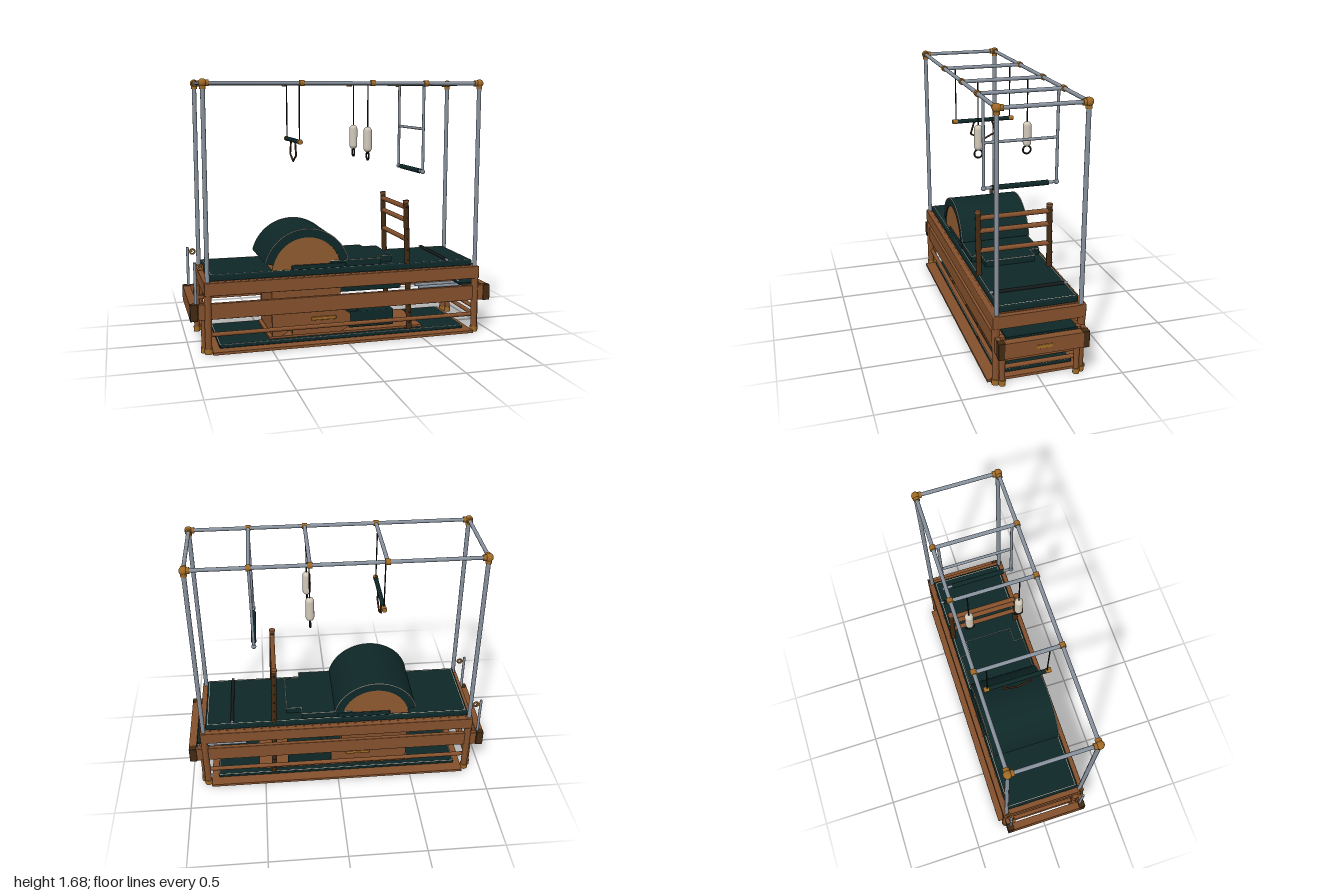
import * as THREE from 'three';
import { RoundedBoxGeometry } from 'three/addons/geometries/RoundedBoxGeometry.js';

const mat = (name, color, opts = {}) => {
  const m = new THREE.MeshStandardMaterial({ color, ...opts });
  m.name = name;
  return m;
};

export function createModel() {
  const wood = mat('wood', 0x84502c);
  const panelWood = mat('panel wood', 0x8f5a30);
  const darkWood = mat('dark wood', 0x432a13);
  const brass = mat('brass', 0xa06a26);
  const teal = mat('teal upholstery', 0x0e2727);
  const steel = mat('steel', 0x87919d);
  const cream = mat('cream', 0xd2c9ba);
  const black = mat('black', 0x151a1a);

  const root = new THREE.Group();
  const add = (name, geo, m, x = 0, y = 0, z = 0, parent = root) => {
    const mesh = new THREE.Mesh(geo, m);
    mesh.name = name;
    mesh.position.set(x, y, z);
    parent.add(mesh);
    return mesh;
  };
  // Box from min/max ranges
  const box = (name, m, [x0, x1], [y0, y1], [z0, z1], r = 0) => {
    const s = [x1 - x0, y1 - y0, z1 - z0];
    const g = r ? new RoundedBoxGeometry(...s, 2, r) : new THREE.BoxGeometry(...s);
    return add(name, g, m, (x0 + x1) / 2, (y0 + y1) / 2, (z0 + z1) / 2);
  };
  // Round rod between two points
  const rod = (name, m, a, b, r, r2 = r) => {
    const p = new THREE.Vector3(...a), q = new THREE.Vector3(...b), d = q.clone().sub(p);
    const mesh = add(name, new THREE.CylinderGeometry(r2, r, d.length(), 14), m);
    mesh.position.copy(p).add(q).multiplyScalar(0.5);
    mesh.quaternion.setFromUnitVectors(new THREE.Vector3(0, 1, 0), d.normalize());
    return mesh;
  };
  const extrude = (name, m, shape, depth, z = 0) => {
    const g = new THREE.ExtrudeGeometry(shape, { depth, bevelEnabled: false, curveSegments: 32 });
    return add(name, g.translate(0, 0, -depth / 2), m, 0, 0, z);
  };
  const poly = pts => new THREE.Shape(pts.map(p => new THREE.Vector2(...p)));
  // Thin piping following a closed outline in x, z
  const piping = (pts, y) => pts.forEach((p, i) => {
    const q = pts[(i + 1) % pts.length];
    rod('piping', cream, [p[0], y, p[1]], [q[0], y, q[1]], 0.0025);
  });
  const rect = (x0, x1, z) => [[x0, -z], [x1, -z], [x1, z], [x0, z]];
  const S = [-1, 1];

  // Base platform and floor mat
  box('basePlatform', wood, [-0.867, 0.867], [0, 0.017], [-0.31, 0.31]);
  box('floorMat', teal, [-0.82, 0.82], [0.017, 0.04], [-0.24, 0.24], 0.006);
  piping(rect(-0.815, 0.815, 0.235), 0.039);

  // Bed frame, long rails and legs
  for (const s of S) {
    box('upperRail', wood, [-0.912, 0.912], [0.367, 0.45], [s * 0.27 - 0.017, s * 0.27 + 0.017], 0.005);
    box('upperEndBoard', wood, s < 0 ? [-0.912, -0.88] : [0.88, 0.912], [0.367, 0.447], [-0.255, 0.255]);
    box('middleRail', wood, [-0.95, 0.95], [0.217, 0.318], [s * 0.263 - 0.014, s * 0.263 + 0.014], 0.004);
    const ex = s < 0 ? [-1, -0.952] : [0.948, 0.997];
    box('lowerEndBoard', wood, ex, [0.217, 0.315], [-0.24, 0.24]);
    for (const t of S) {
      box('cornerBlock', darkWood, ex, [0.212, 0.318], t < 0 ? [-0.279, -0.235] : [0.235, 0.279], 0.004);
      rod('innerLeg', wood, [s * 0.89, 0.035, t * 0.265], [s * 0.89, 0.37, t * 0.265], 0.021, 0.024);
      rod('outerLeg', wood, [s * 0.915, 0.035, t * 0.232], [s * 0.91, 0.32, t * 0.232], 0.017, 0.02);
      rod('legFoot', brass, [s * 0.89, 0, t * 0.265], [s * 0.89, 0.035, t * 0.265], 0.026);
      rod('legFoot', brass, [s * 0.915, 0, t * 0.232], [s * 0.915, 0.035, t * 0.232], 0.021);
    }
    rod('lowerRail', wood, [-0.88, 0.117, s * 0.255], [0.88, 0.117, s * 0.255], 0.014);
    for (const y of [0.11, 0.16]) rod('endRung', wood, [s * 0.9, y, -0.23], [s * 0.9, y, 0.23], 0.014);
    // Carriage track
    box('track', wood, [-0.95, 0.95], [0.225, 0.25], [s * 0.22 - 0.012, s * 0.22 + 0.012]);
  }
  box('drawerPull', brass, [0.995, 1.0], [0.253, 0.278], [-0.047, 0.047], 0.002);

  // Main mattress
  box('bedDeck', wood, [-0.88, 0.88], [0.43, 0.45], [-0.255, 0.255]);
  box('mattress', teal, [-0.88, 0.875], [0.45, 0.49], [-0.25, 0.25], 0.01);
  piping(rect(-0.865, 0.86, 0.236), 0.489);

  // Spring rods and foot plate at the left end
  for (const z of [-0.14, -0.07, 0, 0.07, 0.14])
    rod('spring', steel, [0.62, 0.24, z], [0.95, 0.24, z], 0.011);
  box('footPlate', teal, [0.8, 0.945], [0.312, 0.328], [-0.22, 0.22], 0.004);
  for (const s of S) rod('footBrace', steel, [0.75, 0.39, s * 0.18], [0.82, 0.32, s * 0.18], 0.008);

  // Steel canopy with brass joints
  const Y = 1.655, Z = 0.26, X = 0.89;
  for (const s of S) {
    rod('topRail', steel, [-X, Y, s * Z], [X, Y, s * Z], 0.012);
    for (const x of [-X, X]) {
      rod('post', steel, [x, 0.44, s * Z], [x, Y, s * Z], 0.014);
      add('cornerJoint', new THREE.SphereGeometry(0.026, 14, 10), brass, x, Y, s * Z);
      rod('jointSleeve', brass, [x, Y - 0.036, s * Z], [x, Y, s * Z], 0.019);
      rod('jointSleeve', brass, [x, Y, s * Z], [x - Math.sign(x) * 0.036, Y, s * Z], 0.019);
      rod('jointSleeve', brass, [x, Y, s * Z], [x, Y, s * (Z - 0.036)], 0.019);
    }
    for (const x of [-0.29, 0.165, 0.52])
      rod('slidingCollar', brass, [x - 0.015, Y, s * Z], [x + 0.015, Y, s * Z], 0.019);
  }
  for (const x of [-X, -0.29, 0.165, 0.52, X]) rod('crossBar', steel, [x, Y, -Z], [x, Y, Z], 0.012);

  // Trapeze with sling
  const tx = -0.29;
  rod('trapezeBar', teal, [tx, 1.293, -0.185], [tx, 1.293, 0.185], 0.014);
  for (const s of S) {
    rod('trapezeRope', black, [tx, 1.295, s * 0.188], [tx, Y, s * 0.188], 0.004);
    rod('trapezeEnd', brass, [tx, 1.293, s * 0.18], [tx, 1.293, s * 0.212], 0.016);
    rod('sling', darkWood, [tx, 1.285, s * 0.062], [tx, 1.2, s * 0.088], 0.006);
    rod('sling', darkWood, [tx, 1.2, s * 0.088], [tx, 1.157, 0], 0.006);
  }

  // Fleece hanging loops
  for (const s of S) {
    const z = s * 0.16;
    rod('loopRope', black, [0.165, 1.37, z], [0.165, Y, z], 0.004);
    add('fleeceLoop', new THREE.CapsuleGeometry(0.027, 0.11, 6, 16), cream, 0.165, 1.298, z);
    add('loopRing', new THREE.TorusGeometry(0.026, 0.006, 8, 24), black, 0.165, 1.195, z).rotation.y = Math.PI / 2;
  }

  // Push-through bar
  for (const s of S) {
    rod('swingArm', steel, [0.52, 1.085, s * 0.228], [0.52, Y, s * 0.228], 0.009);
    add('swingElbow', new THREE.SphereGeometry(0.016, 12, 8), steel, 0.52, 1.088, s * 0.228);
  }
  rod('swingSpacer', steel, [0.52, 1.365, -0.228], [0.52, 1.365, 0.228], 0.009);
  rod('pushBar', steel, [0.52, 1.088, -0.228], [0.52, 1.088, 0.228], 0.009);
  rod('pushGrip', teal, [0.52, 1.088, -0.175], [0.52, 1.088, 0.175], 0.016);

  // Pulley posts at the right end
  for (const s of S) {
    rod('pulleyPost', steel, [-0.962, 0.315, s * 0.25], [-0.962, 0.575, s * 0.25], 0.009);
    rod('pulleyArm', steel, [-0.962, 0.545, s * 0.25], [-0.93, 0.545, s * 0.25], 0.005);
    add('pulleyWheel', new THREE.TorusGeometry(0.016, 0.006, 8, 20), brass, -0.93, 0.545, s * 0.25);
  }

  // Arched barrel
  const cx = -0.255, cy = 0.47, a = 0.25;
  const arc = new THREE.Shape();
  arc.absarc(cx, cy, 0.28, a, Math.PI - a, false);
  arc.absarc(cx, cy, 0.224, Math.PI - a, a, true);
  extrude('barrelPad', teal, arc, 0.47);
  const side = new THREE.Shape();
  side.absarc(cx, cy, 0.225, 0.09, Math.PI - 0.09, false);
  extrude('barrelSide', panelWood, side, 0.455);
  for (const s of S) {
    const seam = add('barrelPiping', new THREE.TorusGeometry(0.279, 0.003, 6, 40, Math.PI - 2 * a), cream, cx, cy, s * 0.235);
    seam.rotation.z = a;
  }
  box('barrelCushion', teal, [-0.355, 0], [0.488, 0.518], [-0.238, 0.238], 0.006);

  // Stepped head cushion
  const head = [[-0.1, -0.23], [0.235, -0.23], [0.235, -0.165], [0.335, -0.165],
    [0.335, 0.165], [0.235, 0.165], [0.235, 0.23], [-0.1, 0.23]];
  const hc = extrude('headCushion', teal, poly(head), 0.042);
  hc.rotation.x = -Math.PI / 2;
  hc.position.y = 0.513;
  piping(head, 0.533);

  // Ladder back
  for (const s of S) {
    rod('ladderPost', darkWood, [0.437, 0.045, s * 0.232], [0.405, 0.895, s * 0.232], 0.018);
    rod('ladderCap', wood, [0.405, 0.893, s * 0.232], [0.404, 0.906, s * 0.232], 0.02);
    for (let i = 0; i < 12; i++) {
      const y = 0.09 + i * 0.07, x = 0.437 - (y - 0.045) * 0.0376;
      rod('ladderPin', black, [x, y, s * 0.247], [x, y, s * 0.2525], 0.006);
    }
  }
  for (const y of [0.86, 0.775, 0.647]) {
    const x = 0.437 - (y - 0.045) * 0.0376;
    rod('ladderRung', wood, [x, y, -0.225], [x, y, 0.225], 0.016);
  }

  // Roll bar lying on the mattress
  rod('rollBar', black, [0.697, 0.497, -0.225], [0.697, 0.497, 0.225], 0.011);
  for (const s of S) rod('rollBarEnd', steel, [0.697, 0.497, s * 0.22], [0.697, 0.497, s * 0.247], 0.009);

  // Stowed chair beneath the bed
  box('chairBase', wood, [-0.5, 0.54], [0.04, 0.053], [-0.2, 0.2]);
  const cheek = poly([[-0.48, 0.055], [-0.42, 0.055], [-0.35, 0.1], [-0.35, 0.055], [-0.03, 0.055],
    [0.04, 0.09], [0.04, 0.17], [-0.03, 0.22], [-0.03, 0.4], [-0.48, 0.4]]);
  for (const s of S) extrude('chairSide', wood, cheek, 0.02, s * 0.2);
  box('chairBody', panelWood, [-0.345, -0.03], [0.06, 0.36], [-0.208, 0.208]);
  box('chairBack', wood, [-0.478, -0.46], [0.06, 0.4], [-0.19, 0.19]);
  for (const s of S) box('chairPull', brass, [-0.225, -0.06], [0.145, 0.168], [s * 0.215 - 0.007, s * 0.215 + 0.007], 0.005);
  box('chairSeat', teal, [-0.035, 0.385], [0.318, 0.357], [-0.21, 0.21], 0.008);
  box('chairPedal', teal, [0.03, 0.34], [0.07, 0.178], [-0.2, 0.2], 0.008);
  extrude('chairBolster', teal, poly([[-0.03, 0.16], [0.06, 0.17], [0.1, 0.18], [0.06, 0.215], [-0.03, 0.22]]), 0.39);

  return root;
}
